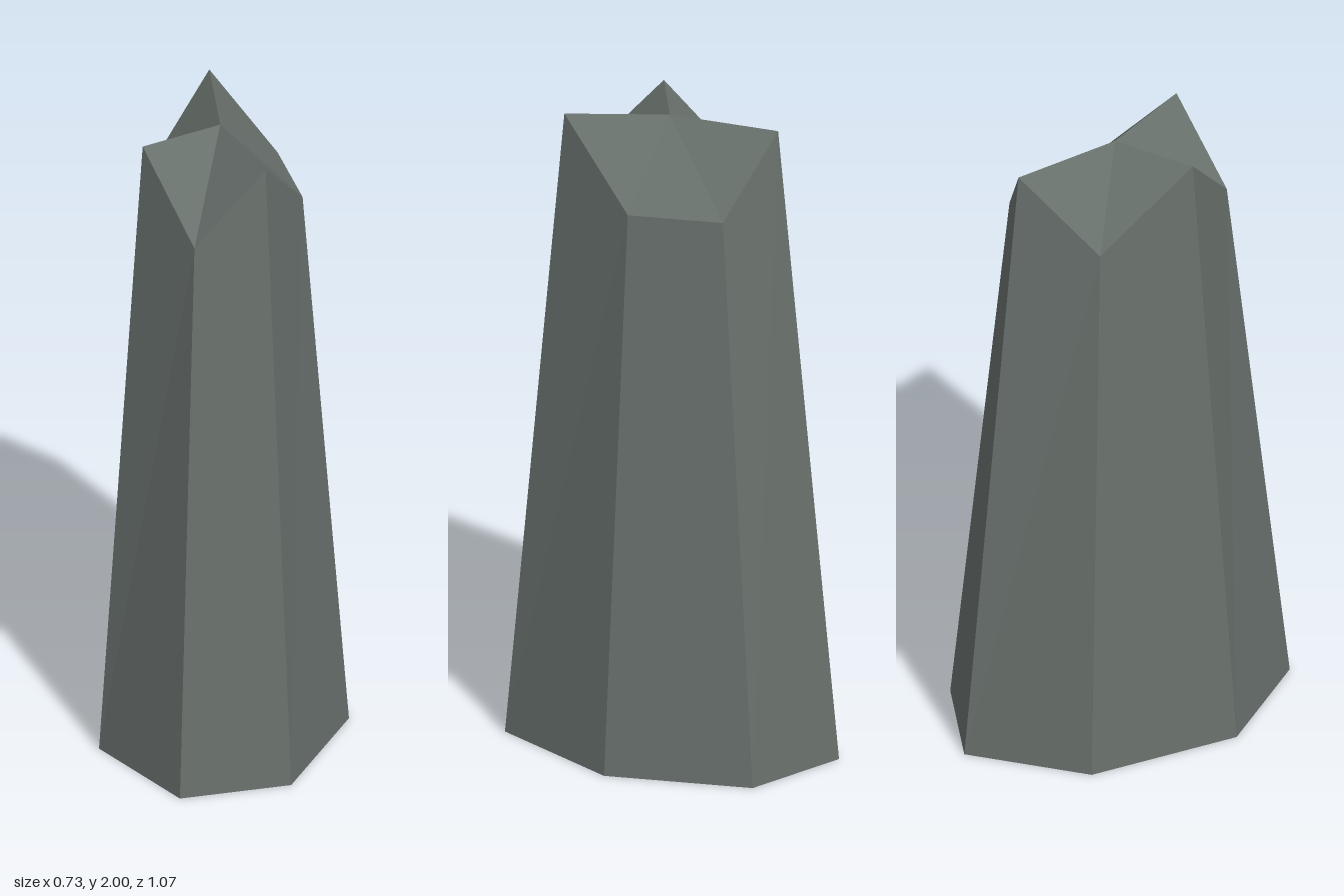
import * as THREE from 'three';

const SIDES = 7;
const CENTER_X = -0.018;
const RX = 0.385, RZ = 0.55; // oval base radii
const TAPER = 0.64;          // top ring size relative to the base

// Corner k of a seven-sided oval ring
function corner(k, scale, y) {
  const a = (k % SIDES) * Math.PI * 2 / SIDES;
  return [CENTER_X + Math.cos(a) * RX * scale, y, Math.sin(a) * RZ * scale];
}

const base = (k) => corner(k, 1, 0);
// Rim corners alternate between low and high for a chipped top
const rim = (k) => corner(k, TAPER, (k % SIDES) % 2 ? 2 : 1.763);

function facetMesh(name, points, material) {
  const geometry = new THREE.BufferGeometry();
  geometry.setAttribute('position', new THREE.Float32BufferAttribute(points.flat(), 3));
  geometry.computeVertexNormals();
  const mesh = new THREE.Mesh(geometry, material);
  mesh.name = name;
  return mesh;
}

export function createModel() {
  const group = new THREE.Group();
  group.name = 'standingStone';
  const stone = new THREE.MeshStandardMaterial({
    color: 0x68706c, flatShading: true, side: THREE.DoubleSide,
  });

  const walls = [], top = [];
  const apex = [CENTER_X, 2, 0];
  for (let k = 0; k < SIDES; k++) {
    walls.push(base(k + 1), base(k), rim(k), base(k + 1), rim(k), rim(k + 1));
    top.push(apex, rim(k + 1), rim(k));
  }

  // Tapered shaft, open underneath
  group.add(facetMesh('shaft', walls, stone));
  // Jagged top facets meeting in the middle
  group.add(facetMesh('chippedTop', top, stone));
  return group;
}
